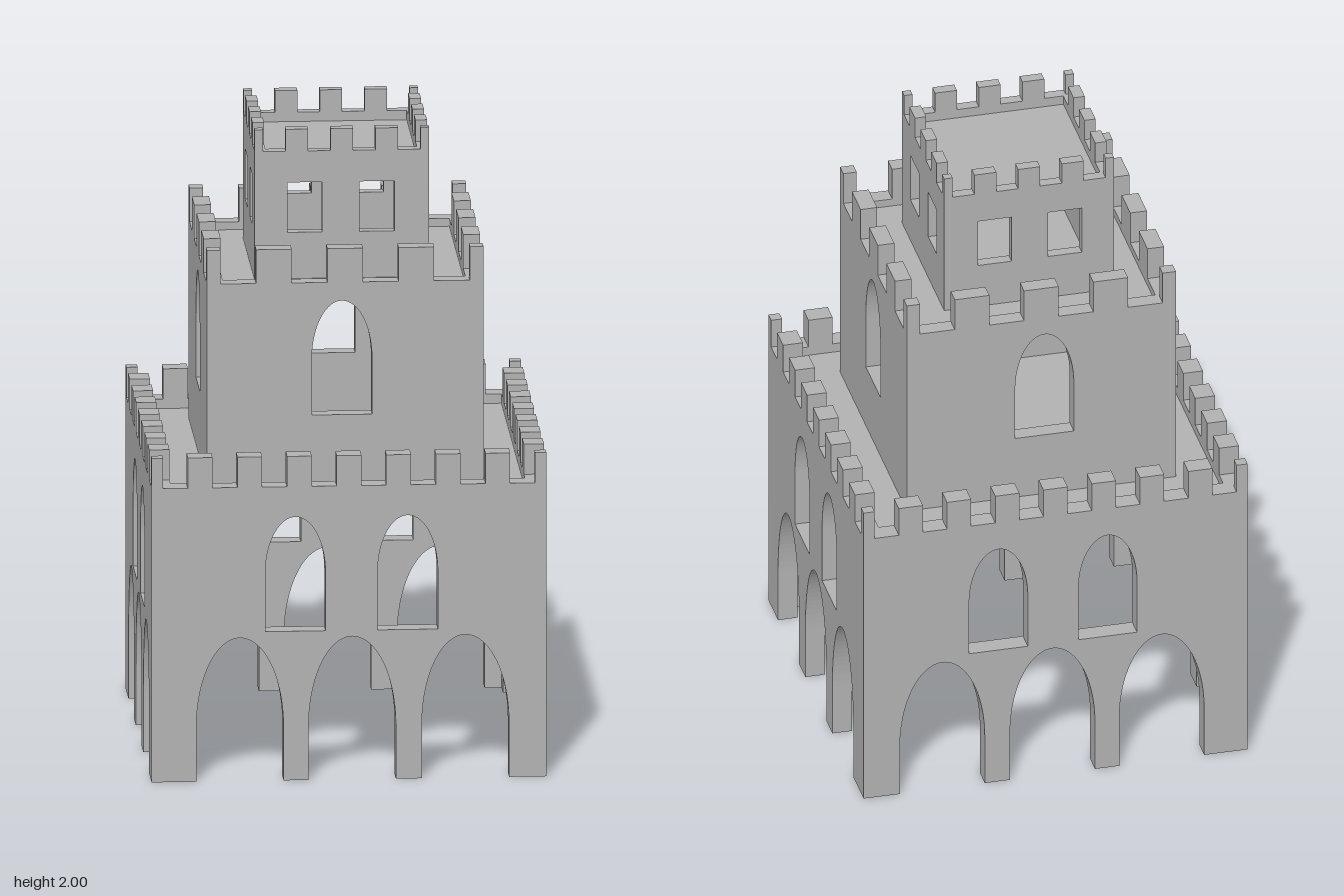
import * as THREE from 'three';

const stone = new THREE.MeshStandardMaterial({ color: 0xb2b2b2 });
stone.name = 'stone';

// Each tier: half width, wall thickness, base, wall top, merlon top, roof slab,
// merlon width, merlons on each side of the middle one, and rows of openings.
const TIERS = [
  {
    name: 'lowerTier', half: 0.615, t: 0.063, base: 0, top: 0.94, crown: 1.037, roof: [0.85, 0.91],
    merlon: 0.0773, count: 3,
    openings: [
      { x: [-0.34, 0.01, 0.363], z: [-0.347, 0.002, 0.355], w: 0.136, y0: 0, spring: 0.17, y1: 0.458 },
      { x: [-0.167, 0.183], z: [-0.172, 0.178], w: 0.094, y0: 0.477, spring: 0.66, y1: 0.843 },
    ],
  },
  {
    name: 'middleTier', half: 0.431, t: 0.053, base: 0.91, top: 1.547, crown: 1.655, roof: [1.492, 1.522],
    merlon: 0.111, count: 1,
    openings: [{ x: [-0.01], z: [0.005], w: 0.094, y0: 1.123, spring: 1.3, y1: 1.488 }],
  },
  {
    name: 'upperTier', half: 0.272, t: 0.036, base: 1.522, top: 1.93, crown: 2, roof: [1.87, 1.9],
    merlon: 0.07, count: 1,
    openings: [{ x: [-0.115, 0.11], z: [-0.12, 0.11], w: 0.054, y0: 1.67, y1: 1.83 }],
  },
];

function add(group, name, geometry, x = 0, y = 0, z = 0) {
  const mesh = new THREE.Mesh(geometry, stone);
  mesh.name = name;
  mesh.position.set(x, y, z);
  group.add(mesh);
  return mesh;
}

// Traces one opening from its lower left corner, over the head, to its lower right corner
function traceOpening(path, cx, o) {
  if (o.spring === undefined) {
    path.lineTo(cx - o.w, o.y1);
    path.lineTo(cx + o.w, o.y1);
  } else {
    path.lineTo(cx - o.w, o.spring);
    path.absellipse(cx, o.spring, o.w, o.y1 - o.spring, Math.PI, 0, true);
  }
  path.lineTo(cx + o.w, o.y0);
}

// Wall slab in the xy plane, centred on z = 0
function wallGeometry(tier, half, axis) {
  const shape = new THREE.Shape();
  shape.moveTo(-half, tier.base);
  for (const o of tier.openings) {
    for (const cx of o[axis]) {
      if (o.y0 === tier.base) {
        shape.lineTo(cx - o.w, o.y0);
        traceOpening(shape, cx, o);
      } else {
        const hole = new THREE.Path();
        hole.moveTo(cx - o.w, o.y0);
        traceOpening(hole, cx, o);
        hole.closePath();
        shape.holes.push(hole);
      }
    }
  }
  shape.lineTo(half, tier.base);
  shape.lineTo(half, tier.top);
  shape.lineTo(-half, tier.top);
  shape.closePath();
  const geometry = new THREE.ExtrudeGeometry(shape, { depth: tier.t, bevelEnabled: false, curveSegments: 24 });
  return geometry.translate(0, 0, -tier.t / 2);
}

function buildTier(tier) {
  const group = new THREE.Group();
  group.name = tier.name;
  const { half, t, top, crown, merlon, count } = tier;
  const inner = half - t;
  const mid = half - t / 2;
  const h = crown - top;
  const y = top + h / 2;

  // Walls: front and back run full width, the sides fit between them
  const frontGeometry = wallGeometry(tier, half, 'x');
  const sideGeometry = wallGeometry(tier, inner, 'z');
  for (const s of [1, -1]) {
    add(group, s > 0 ? 'frontWall' : 'backWall', frontGeometry, 0, 0, s * mid);
    add(group, s > 0 ? 'leftWall' : 'rightWall', sideGeometry, s * mid, 0, 0).rotation.y = -Math.PI / 2;
  }

  // Sunken roof slab
  const [r0, r1] = tier.roof;
  add(group, 'roof', new THREE.BoxGeometry(2 * inner, r1 - r0, 2 * inner), 0, (r0 + r1) / 2, 0);

  // Battlements along the four walls
  const alongX = new THREE.BoxGeometry(merlon, h, t);
  const alongZ = new THREE.BoxGeometry(t, h, merlon);
  for (let k = -count; k <= count; k++) {
    for (const s of [1, -1]) {
      add(group, 'merlon', alongX, k * 2 * merlon, y, s * mid);
      add(group, 'merlon', alongZ, s * mid, y, k * 2 * merlon);
    }
  }

  // Slim corner posts fill what is left after the last gap
  const post = half - (2 * count + 1.5) * merlon;
  const postGeometry = new THREE.BoxGeometry(post, h, post);
  for (const sx of [1, -1]) {
    for (const sz of [1, -1]) {
      add(group, 'cornerPost', postGeometry, sx * (half - post / 2), y, sz * (half - post / 2));
    }
  }
  return group;
}

export function createModel() {
  const model = new THREE.Group();
  model.name = 'tower';
  for (const tier of TIERS) model.add(buildTier(tier));
  return model;
}
